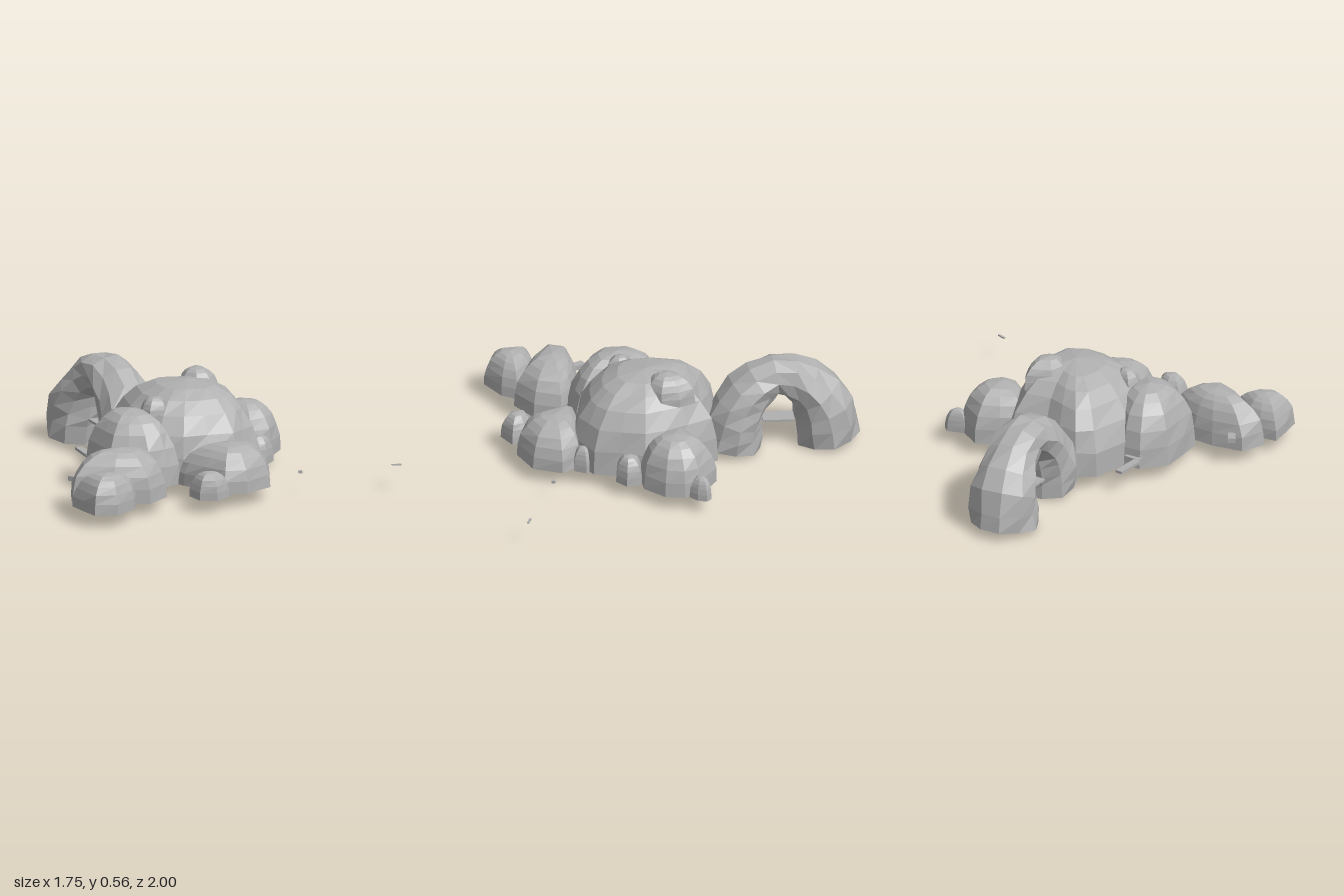
import * as THREE from 'three';

const BASE = 0.07;

// Skin a stack of equal-length closed rings; an optional apex closes the top
function loft(rings, apex) {
  const n = rings[0].length;
  const pos = rings.flat().flatMap(p => [p.x, p.y, p.z]);
  const index = [];
  for (let k = 0; k < rings.length - 1; k++) {
    for (let i = 0; i < n; i++) {
      const a = k * n + i, b = k * n + (i + 1) % n;
      index.push(a, a + n, b, b, a + n, b + n);
    }
  }
  if (apex) {
    const top = rings.length * n;
    pos.push(apex.x, apex.y, apex.z);
    for (let i = 0; i < n; i++) index.push(top - n + i, top, top - n + (i + 1) % n);
  }
  const g = new THREE.BufferGeometry();
  g.setAttribute('position', new THREE.Float32BufferAttribute(pos, 3));
  g.setIndex(index);
  g.computeVertexNormals();
  return g;
}

// Hollow boulder: ground outline [x, z] rounded up to an apex
function boulder(outline, [ax, az], height, base = BASE) {
  let area = 0;
  outline.forEach(([x, z], i) => {
    const [x2, z2] = outline[(i + 1) % outline.length];
    area += x * z2 - x2 * z;
  });
  const pts = area > 0 ? outline : [...outline].reverse();
  const rings = [0, 0.28, 0.52, 0.72, 0.86, 0.95].map((t, k) => {
    const r = Math.pow(1 - Math.pow(t, 2.3), 1 / 2.3);
    return pts.map(([x, z], i) => {
      const s = r * (k ? 1 + 0.02 * Math.sin(i * 2.7 + k * 1.9) : 1);
      return new THREE.Vector3(ax + (x - ax) * s, base + (height - base) * t, az + (z - az) * s);
    });
  });
  return loft(rings, new THREE.Vector3(ax, height, az));
}

// Curved rock arch with flared, open feet
function archGeometry() {
  // x, y, z, half width, half thickness
  const stations = [
    [-0.44, 0.03, -0.37, 0.17, 0.16],
    [-0.45, 0.17, -0.39, 0.18, 0.145],
    [-0.48, 0.31, -0.45, 0.15, 0.125],
    [-0.54, 0.40, -0.58, 0.125, 0.105],
    [-0.60, 0.35, -0.72, 0.135, 0.12],
    [-0.65, 0.20, -0.81, 0.18, 0.16],
    [-0.67, 0.025, -0.83, 0.18, 0.17],
  ];
  const path = new THREE.CatmullRomCurve3(stations.map(s => new THREE.Vector3(s[0], s[1], s[2])));
  const side = new THREE.Vector3(0.91, 0, -0.42).normalize();
  const rings = [];
  const steps = 12, sides = 10;
  for (let k = 0; k <= steps; k++) {
    const u = k / steps;
    const f = u * (stations.length - 1), i = Math.min(Math.floor(f), stations.length - 2);
    const w = THREE.MathUtils.lerp(stations[i][3], stations[i + 1][3], f - i);
    const t = THREE.MathUtils.lerp(stations[i][4], stations[i + 1][4], f - i);
    const c = path.getPoint(u);
    const n = new THREE.Vector3().crossVectors(side, path.getTangent(u)).normalize();
    const ring = [];
    for (let j = 0; j < sides; j++) {
      const a = j / sides * Math.PI * 2;
      const s = 1 + 0.06 * Math.sin(j * 2.3 + k * 1.7);
      const p = c.clone().addScaledVector(side, Math.cos(a) * w * s).addScaledVector(n, Math.sin(a) * t * s);
      p.y = Math.max(p.y, 0);
      ring.push(p);
    }
    rings.push(ring);
  }
  return loft(rings);
}

export function createModel() {
  const model = new THREE.Group();
  model.name = 'rockFormation';
  const stone = new THREE.MeshStandardMaterial({ color: 0xb0b0b0, flatShading: true, side: THREE.DoubleSide });
  stone.name = 'grey stone';

  const add = (name, geometry) => {
    const mesh = new THREE.Mesh(geometry, stone);
    mesh.name = name;
    model.add(mesh);
    return mesh;
  };

  // Large boulders
  add('mainBoulder', boulder([[-0.62, -0.18], [-0.56, -0.27], [-0.44, -0.29], [-0.31, -0.28], [-0.15, -0.38],
    [-0.03, -0.28], [0.06, -0.17], [0.14, -0.07], [0.15, 0.07], [0.16, 0.2], [0.1, 0.28], [0.03, 0.35], [-0.12, 0.39],
    [-0.26, 0.41], [-0.4, 0.38], [-0.52, 0.28], [-0.6, 0.08]], [-0.2, 0.02], 0.53));
  add('leftBoulder', boulder([[-0.6, 0.01], [-0.69, 0.05], [-0.75, 0.19], [-0.7, 0.33], [-0.65, 0.45], [-0.55, 0.48],
    [-0.44, 0.5], [-0.34, 0.46], [-0.28, 0.41], [-0.33, 0.2], [-0.42, 0.06]], [-0.52, 0.25], 0.44));
  add('frontLeftBoulder', boulder([[-0.6, 0.48], [-0.48, 0.48], [-0.37, 0.51], [-0.37, 0.66], [-0.47, 0.79],
    [-0.66, 0.78], [-0.87, 0.73], [-0.86, 0.59], [-0.71, 0.51]], [-0.61, 0.62], 0.33));
  add('cornerBoulder', boulder([[-0.875, 0.8], [-0.79, 0.76], [-0.7, 0.74], [-0.54, 0.79], [-0.56, 0.88],
    [-0.66, 1], [-0.78, 1], [-0.83, 0.9]], [-0.7, 0.87], 0.265));
  add('frontBoulder', boulder([[-0.29, 0.41], [-0.26, 0.45], [-0.17, 0.55], [-0.07, 0.65], [0.05, 0.64], [0.18, 0.52],
    [0.19, 0.36], [0.09, 0.29], [-0.1, 0.32]], [-0.02, 0.45], 0.3));
  add('backRightBoulder', boulder([[-0.11, -0.23], [-0.02, -0.34], [0.07, -0.43], [0.24, -0.39], [0.29, -0.32],
    [0.31, -0.22], [0.25, -0.09], [0.14, -0.04], [0, -0.1]], [0.12, -0.22], 0.345));

  // Small boulders on the ground
  add('frontPebble', boulder([[-0.255, 0.66], [-0.19, 0.62], [-0.1, 0.63], [-0.05, 0.69], [-0.12, 0.77], [-0.21, 0.755]],
    [-0.15, 0.69], 0.21));
  add('backRightPebble', boulder([[0.19, -0.4], [0.27, -0.455], [0.305, -0.44], [0.305, -0.39], [0.28, -0.34], [0.22, -0.34]],
    [0.255, -0.4], 0.19));
  add('rightPebble', boulder([[0.11, -0.05], [0.21, -0.065], [0.25, 0], [0.21, 0.07], [0.14, 0.085], [0.09, 0.02]],
    [0.175, 0.01], 0.215));
  add('lowerRightPebble', boulder([[0.06, 0.24], [0.12, 0.22], [0.16, 0.24], [0.15, 0.31], [0.08, 0.33]],
    [0.11, 0.27], 0.2));

  // Knobs perched on the large boulders
  add('topKnob', boulder([[-0.13, -0.265], [-0.23, -0.16], [-0.23, -0.06], [-0.15, 0.005], [-0.06, -0.02], [-0.02, -0.11],
    [-0.06, -0.2]], [-0.14, -0.11], 0.555, 0.4));
  add('leftKnob', boulder([[-0.46, 0.16], [-0.375, 0.14], [-0.315, 0.2], [-0.33, 0.27], [-0.42, 0.275], [-0.46, 0.23]],
    [-0.385, 0.2], 0.485, 0.36));

  add('arch', archGeometry());

  // Thin ledges and loose chips
  const chips = [
    ['archLedge', [0.1, 0.012, 0.16], [-0.57, 0.14, -0.59], 0.3],
    ['leftLedge', [0.04, 0.015, 0.16], [-0.725, 0.13, -0.055], 0.25],
    ['leftLedgeStep', [0.09, 0.03, 0.04], [-0.66, 0.12, 0.035], 0.3],
    ['frontLeftLedge', [0.07, 0.025, 0.04], [-0.83, 0.15, 0.545], -0.7],
    ['looseChip', [0.018, 0.014, 0.018], [0.352, 0.105, 0.366], 0],
    ['farChip', [0.05, 0.006, 0.012], [0.85, 0.13, 0.366], 0],
  ];
  for (const [name, size, position, turn] of chips) {
    const chip = add(name, new THREE.BoxGeometry(...size));
    chip.position.set(...position);
    chip.rotation.y = turn;
  }
  return model;
}
